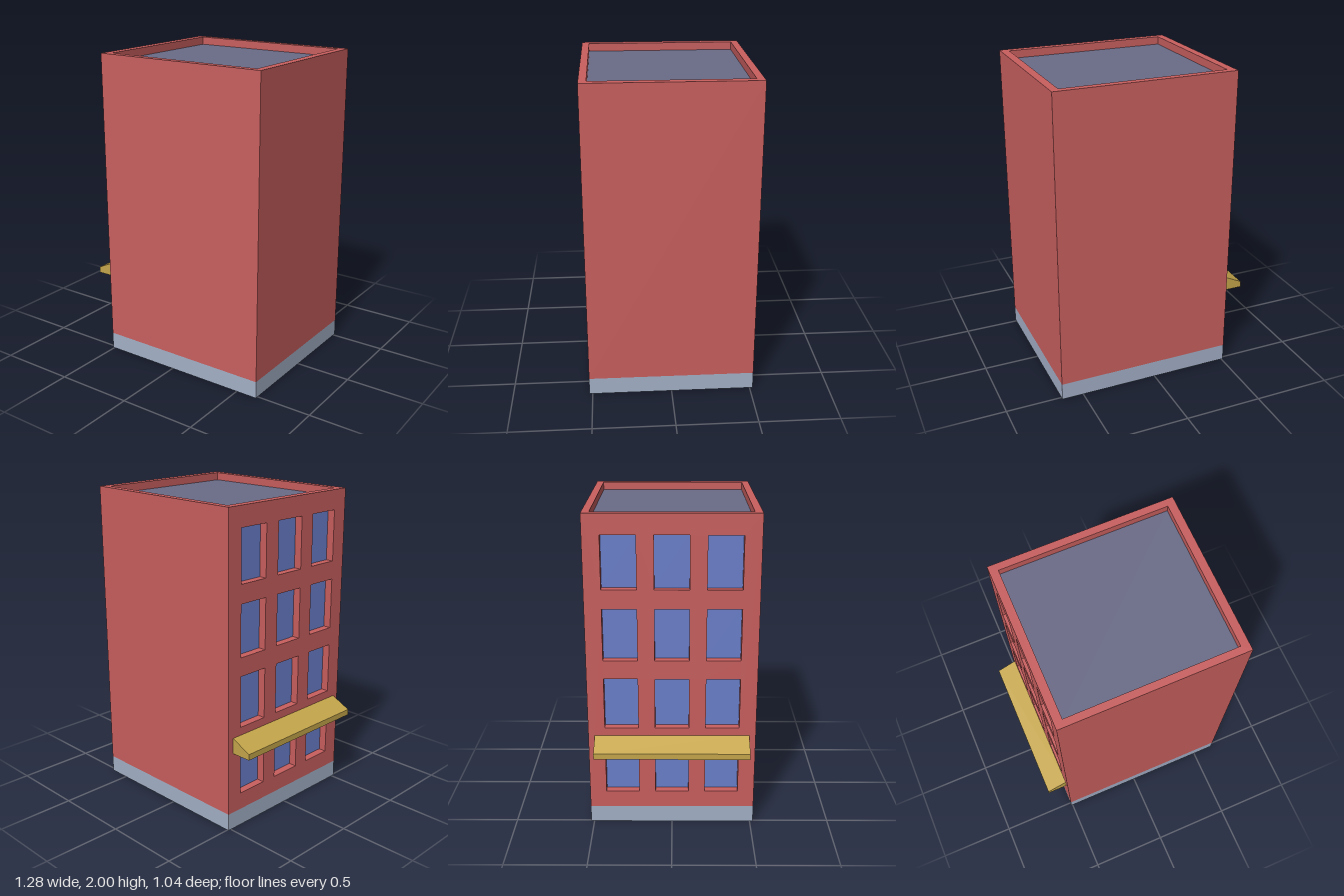
import * as THREE from 'three';

const mat = (name, color, side = THREE.DoubleSide) => {
  const m = new THREE.MeshStandardMaterial({ color, side });
  m.name = name;
  return m;
};

// Open square tube along y with flat faces; sides counted from the +z face
function squareTube(w, h, d, sides = 4) {
  const g = new THREE.CylinderGeometry(
    Math.SQRT1_2, Math.SQRT1_2, 1, sides, 1, true, -Math.PI / 4, sides * Math.PI / 2
  ).toNonIndexed();
  g.scale(w, h, d);
  g.computeVertexNormals();
  return g;
}

function rect(PathType, w, h, cx = 0, cy = 0) {
  return new PathType([
    [-1, -1], [1, -1], [1, 1], [-1, 1],
  ].map(([a, b]) => new THREE.Vector2(cx + a * w / 2, cy + b * h / 2)));
}

export function createModel() {
  const brick = mat('brick red', 0xc95f5f);
  const stone = mat('base grey', 0xa3b0c7);
  const slate = mat('roof slate', 0x6a6b87);
  const glass = mat('window blue', 0x6b7fcb);
  const gold = mat('awning gold', 0xc5a64b);

  const model = new THREE.Group();
  model.name = 'building';
  const add = (name, geometry, material, x = 0, y = 0, z = 0, parent = model) => {
    const mesh = new THREE.Mesh(geometry, material);
    mesh.name = name;
    mesh.position.set(x, y, z);
    parent.add(mesh);
    return mesh;
  };

  const W = 1.15, D = 1.04, H = 2, CX = 0.065, BASE = 0.11;
  const faceX = CX - W / 2;
  const rimX = 0.052, rimZ = 0.046, roofDrop = 0.05;

  // Shell: base band and three plain walls, open underneath
  add('baseBand', squareTube(W, BASE, D), stone, CX, BASE / 2);
  add('plainWalls', squareTube(W, H - BASE, D, 3), brick, CX, (H + BASE) / 2);

  // Window wall with a 3 x 4 grid of recessed windows
  const winW = 0.208, winH = 0.325, recess = 0.05;
  const wall = rect(THREE.Shape, D, H - BASE, 0, (H + BASE) / 2);
  const windows = new THREE.Group();
  windows.name = 'windows';
  model.add(windows);
  const reveal = squareTube(winH, recess, winW).rotateZ(Math.PI / 2);
  const pane = new THREE.PlaneGeometry(winW, winH).rotateY(-Math.PI / 2);
  for (let row = 0; row < 4; row++) {
    for (let col = -1; col <= 1; col++) {
      const y = 0.382 + row * 0.443, z = col * 0.312;
      wall.holes.push(rect(THREE.Path, winW, winH, z, y));
      add('windowReveal', reveal, brick, faceX + recess / 2, y, z, windows);
      add('windowPane', pane, glass, faceX + recess, y, z, windows);
    }
  }
  add('windowWall', new THREE.ShapeGeometry(wall).rotateY(-Math.PI / 2), brick, faceX);

  // Parapet rim and sunken roof
  const inW = W - 2 * rimX, inD = D - 2 * rimZ;
  const rim = rect(THREE.Shape, W, D);
  rim.holes.push(rect(THREE.Path, inW, inD));
  add('parapetTop', new THREE.ShapeGeometry(rim).rotateX(-Math.PI / 2), brick, CX, H);
  add('parapetInside', squareTube(inW, roofDrop, inD), brick, CX, H - roofDrop / 2);
  add('roof', new THREE.PlaneGeometry(inW, inD).rotateX(-Math.PI / 2), slate, CX, H - roofDrop);

  // Sloped awning above the lowest windows
  const profile = new THREE.Shape([
    [-0.64, 0.51], [faceX + 0.005, 0.51], [faceX + 0.005, 0.613], [-0.64, 0.548],
  ].map(([x, y]) => new THREE.Vector2(x, y)));
  const awning = new THREE.ExtrudeGeometry(profile, { depth: 0.96, bevelEnabled: false });
  add('awning', awning, gold, 0, 0, -0.48);

  return model;
}
